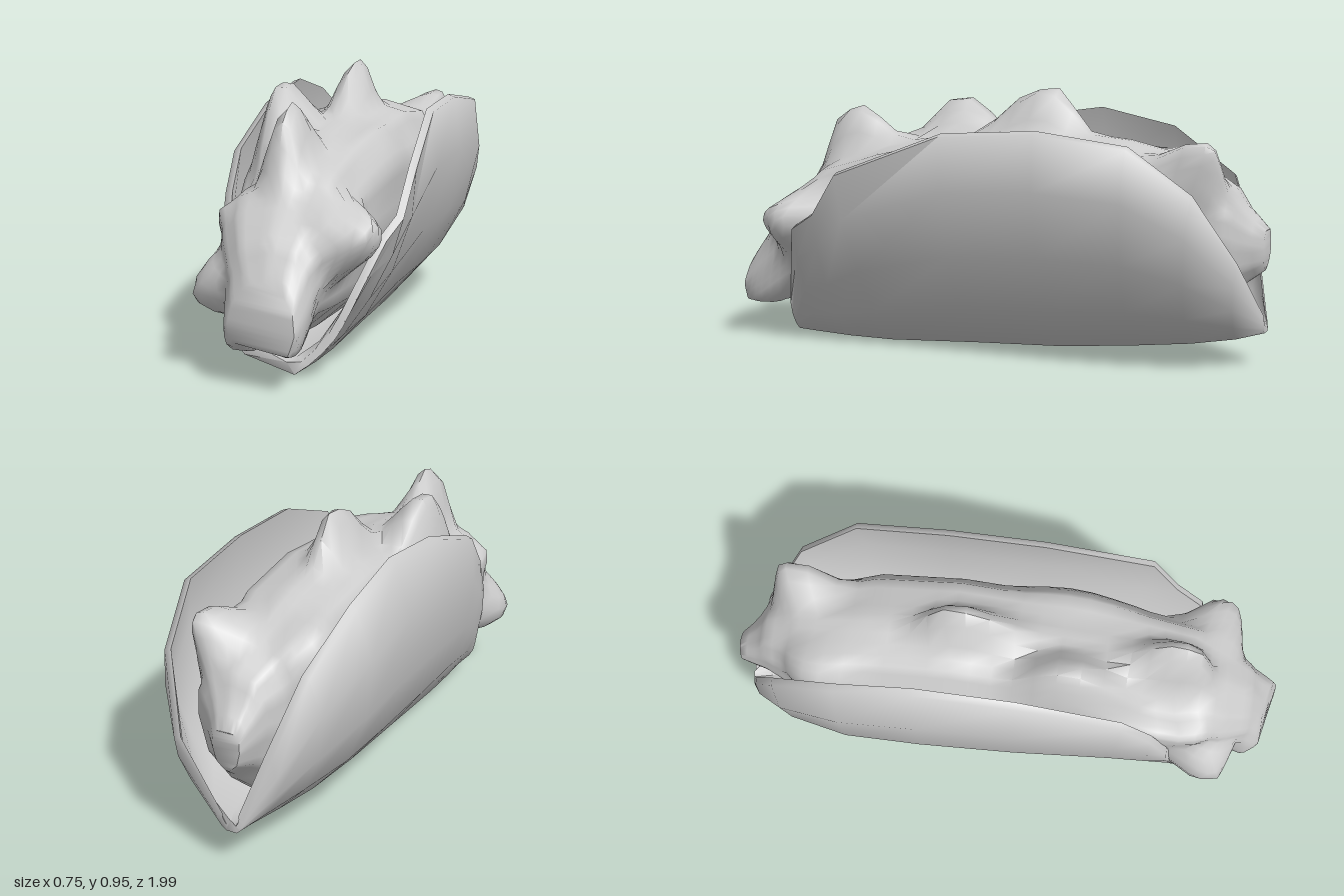
import * as THREE from 'three';
import { toCreasedNormals } from 'three/addons/utils/BufferGeometryUtils.js';

// Skin a row of closed rings (counter-clockwise seen from the front, running front to back).
// End caps join point i with point n-1-i, so they also suit U-shaped rings.
function loft(rings, crease) {
  const n = rings[0].length, last = (rings.length - 1) * n, index = [];
  for (let j = 0; j < rings.length - 1; j++) {
    for (let i = 0; i < n; i++) {
      const k = (i + 1) % n;
      const a = j * n + i, b = j * n + k, c = b + n, d = a + n;
      index.push(a, d, c, a, c, b);
    }
  }
  for (let i = 0; i < n / 2 - 1; i++) {
    const a = i, b = i + 1, c = n - 2 - i, d = n - 1 - i;
    index.push(a, b, c, a, c, d);
    index.push(last + a, last + c, last + b, last + a, last + d, last + c);
  }
  const geo = new THREE.BufferGeometry();
  geo.setAttribute('position', new THREE.Float32BufferAttribute(rings.flat(2), 3));
  geo.setIndex(index);
  return toCreasedNormals(geo, crease);
}

// Folded shell: rim and fold points at each station, with bulging walls between
function shellGeometry() {
  const rimLeft = [[.21, .17, .75], [.33, .44, .67], [.36, .5, .57], [.375, .65, .47], [.33, .8, .08],
    [.32, .82, -.27], [.32, .78, -.6], [.27, .62, -.81], [.16, .38, -.94], [-.03, .17, -.99]];
  const rimRight = [[-.22, .17, .64], [-.27, .4, .6], [-.28, .55, .53], [-.29, .68, .42], [-.31, .81, .05],
    [-.325, .86, -.3], [-.325, .8, -.58], [-.28, .64, -.82], [-.2, .38, -.93], [-.12, .17, -.98]];
  // Fold edges on both sides: x, y, z
  const foldLeft = [[.06, .01, .8], [.06, .005, .7], [.06, 0, .58], [.06, 0, .4], [.06, .02, .05],
    [.06, .035, -.28], [.05, .06, -.55], [.03, .08, -.75], [-.01, .1, -.9], [-.06, .12, -.99]];
  const foldRight = [[-.155, .035, .69], [-.155, .035, .63], [-.155, .03, .53], [-.155, .03, .38], [-.15, .04, .05],
    [-.145, .05, -.28], [-.14, .07, -.55], [-.12, .09, -.75], [-.1, .105, -.9], [-.1, .12, -.99]];
  const bulgeLeft = [.02, .03, .05, .08, .11, .12, .12, .1, .05, .01];
  const bulgeRight = [.02, .03, .05, .07, .11, .13, .13, .1, .05, .01];
  const rings = foldLeft.map((unused, s) => {
    const wall = (rim, fold, push) => [[0, 0], [.2, .75], [.45, 1], [.75, .75], [1, 0]].map(([t, out]) =>
      fold.map((v, c) => v + (rim[c] - v) * t + (c === 0 ? push * out : 0)));
    const right = wall(rimRight[s], foldRight[s], -bulgeRight[s]);
    const left = wall(rimLeft[s], foldLeft[s], bulgeLeft[s]);
    const outer = [...right.reverse(), ...left];
    // The inner skin closes up where the fold pinches together at the back
    const inset = Math.min(.026, (foldLeft[s][0] - foldRight[s][0]) * .45);
    const inner = outer.map(([x, y, z], i) => {
      const isFold = i === 4 || i === 5;
      return [x + (i < 5 ? inset : -inset), y + (isFold ? .04 : .01), z];
    }).reverse();
    return [...outer, ...inner];
  });
  return loft(rings, 1.3);
}

// Insert k-1 evenly spaced steps between neighbouring rows of numbers
function subdivide(rows, k) {
  const out = [rows[0]];
  for (let i = 1; i < rows.length; i++) {
    for (let j = 1; j <= k; j++) {
      out.push(rows[i].map((v, c) => rows[i - 1][c] + (v - rows[i - 1][c]) * j / k));
    }
  }
  return out;
}

// Lumps drawn out of the filling: where, how far, and reach along x, y, z
const lumps = [
  { at: [-.17, .63, .56], move: [0, -.08, 0], reach: [.15, .2, .17] },       // hollow beside front ridge
  { at: [-.035, .69, .58], move: [0, .165, .02], reach: [.11, .2, .2] },     // front ridge
  { at: [-.19, .71, .22], move: [-.01, .17, 0], reach: [.16, .25, .22] },    // right block
  { at: [.22, .66, .22], move: [.02, .03, 0], reach: [.16, .2, .26] },       // left bump
  { at: [.2, .45, .7], move: [.13, .02, .06], reach: [.16, .15, .16] },      // front left arm
  { at: [-.18, .28, .7], move: [-.11, -.03, .06], reach: [.16, .14, .16] },  // front right arm
  { at: [-.21, .49, .62], move: [-.02, .01, .04], reach: [.14, .12, .15] },  // right shoulder
  { at: [.08, .22, .92], move: [.03, -.06, .06], reach: [.09, .16, .14] },   // left tongue
  { at: [-.08, .2, .9], move: [-.04, -.05, .01], reach: [.08, .16, .14] },   // right tongue
  { at: [0, .14, .93], move: [0, .05, -.05], reach: [.05, .09, .1] },        // notch between tongues
  { at: [-.035, .8, -.14], move: [0, .145, -.03], reach: [.09, .2, .22] },   // top ridge
  { at: [.08, .69, -.75], move: [.05, .1, -.07], reach: [.12, .18, .15] },   // rear left spike
  { at: [-.17, .62, -.64], move: [-.06, .05, -.03], reach: [.13, .16, .17] }, // rear right corner
  { at: [-.07, .43, -.96], move: [0, 0, -.03], reach: [.1, .14, .1] },       // rear tongue
];

function pullLumps(p) {
  for (const { at, move, reach } of lumps) {
    const d = Math.hypot(...p.map((v, c) => (v - at[c]) / reach[c]));
    const weight = Math.min(1, 1.4 * Math.max(0, 1 - d));
    p = p.map((v, c) => v + move[c] * weight);
  }
  return p;
}

// Filling sections: z, bottom, top, half width, centre x
function fillingGeometry() {
  const sections = subdivide([[.94, .14, .34, .09, .01], [.88, .1, .45, .14, 0], [.78, .13, .55, .19, -.01],
    [.65, .1, .67, .215, -.01], [.42, .08, .74, .24, -.02], [.1, .08, .78, .245, -.02],
    [-.2, .09, .81, .245, -.02], [-.5, .11, .78, .24, -.03], [-.75, .14, .72, .18, -.04],
    [-.88, .25, .64, .13, -.03], [-.97, .34, .49, .05, -.07]], 4);
  // Half outline from top to bottom, as fractions of half width and height
  const half = subdivide([[.06, 1], [.68, .94], [.97, .76], [1, .52], [.75, .2], [.1, 0]], 4);
  return loft(sections.map(([z, y0, y1, w, cx]) => {
    const side = (s) => half.map(([u, v]) => pullLumps([cx + s * u * w, y0 + (y1 - y0) * v, z]));
    return [...side(-1), ...side(1).reverse()];
  }), 1.1);
}

export function createModel() {
  const group = new THREE.Group();
  const grey = new THREE.MeshStandardMaterial({ color: 0xcccccc });
  grey.name = 'plain grey';
  const add = (name, geo) => {
    const mesh = new THREE.Mesh(geo, grey);
    mesh.name = name;
    group.add(mesh);
  };
  add('shell', shellGeometry());
  add('filling', fillingGeometry());
  return group;
}
